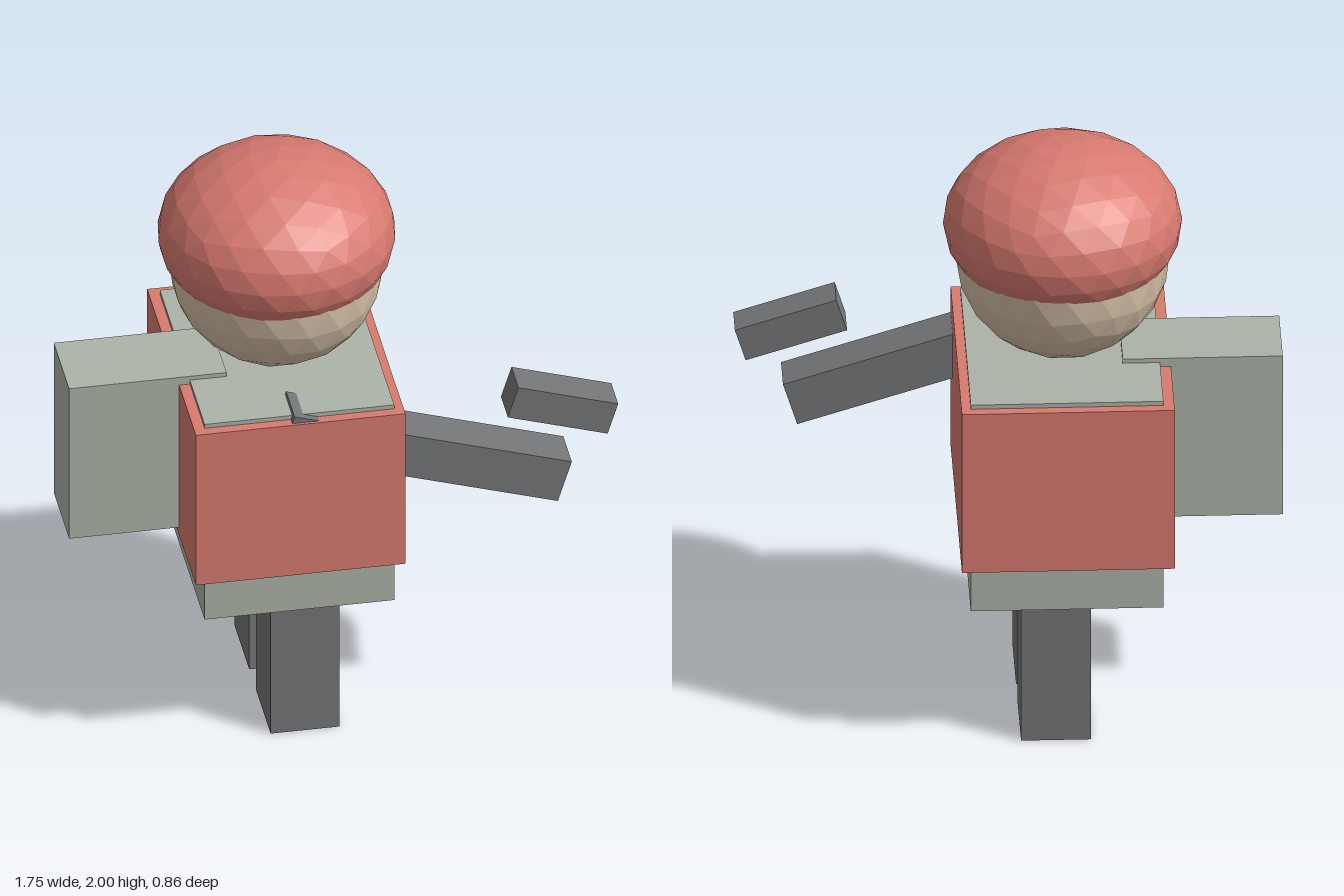
import * as THREE from 'three';

const material = (name, color) => {
  const m = new THREE.MeshStandardMaterial({ color, flatShading: true });
  m.name = name;
  return m;
};

export function createModel() {
  const group = new THREE.Group();
  const red = material('coral red', 0xd87a70);
  const sage = material('sage grey', 0xacb3a8);
  const dark = material('dark grey', 0x747577);
  const skin = material('skin', 0xd6c1a8);

  const add = (name, geometry, mat, x, y, z, tilt = 0) => {
    const mesh = new THREE.Mesh(geometry, mat);
    mesh.name = name;
    mesh.position.set(x, y, z);
    mesh.rotation.z = tilt;
    group.add(mesh);
  };
  // Box given by its lower and upper limits on each axis
  const block = (name, mat, [x0, x1], [y0, y1], [z0, z1]) =>
    add(name, new THREE.BoxGeometry(x1 - x0, y1 - y0, z1 - z0), mat,
      (x0 + x1) / 2, (y0 + y1) / 2, (z0 + z1) / 2);
  // Faceted ball with a corner at the top, squashed to a given height
  const ball = (radius, halfHeight) =>
    new THREE.IcosahedronGeometry(radius, 3)
      .rotateZ(-Math.atan(2 / (1 + Math.sqrt(5))))
      .scale(1, halfHeight / radius, 1);

  // Torso, vest and backpack
  block('torso', sage, [-0.48, 0.14], [0.52, 1.275], [-0.395, 0.395]);
  block('vest', red, [-0.515, 0.17], [0.68, 1.26], [-0.43, 0.43]);
  block('backpack', sage, [-0.875, -0.36], [0.71, 1.29], [-0.135, 0.135]);

  // Legs
  block('leftLeg', dark, [-0.25, -0.025], [0, 0.53], [0.06, 0.318]);
  block('rightLeg', dark, [-0.25, -0.025], [0, 0.53], [-0.318, -0.06]);

  // Raised arm and the separate block floating above its end
  const tilt = -0.304;
  add('arm', new THREE.BoxGeometry(0.95, 0.153, 0.15), dark, 0.24, 1.07, 0.345, tilt);
  add('hand', new THREE.BoxGeometry(0.342, 0.116, 0.122), dark, 0.69, 1.192, 0.344, tilt);

  // Head with a squashed cap around its upper half
  add('head', ball(0.346, 0.346), skin, -0.172, 1.616, 0);
  add('cap', ball(0.385, 0.272), red, -0.172, 1.728, 0);

  return group;
}
